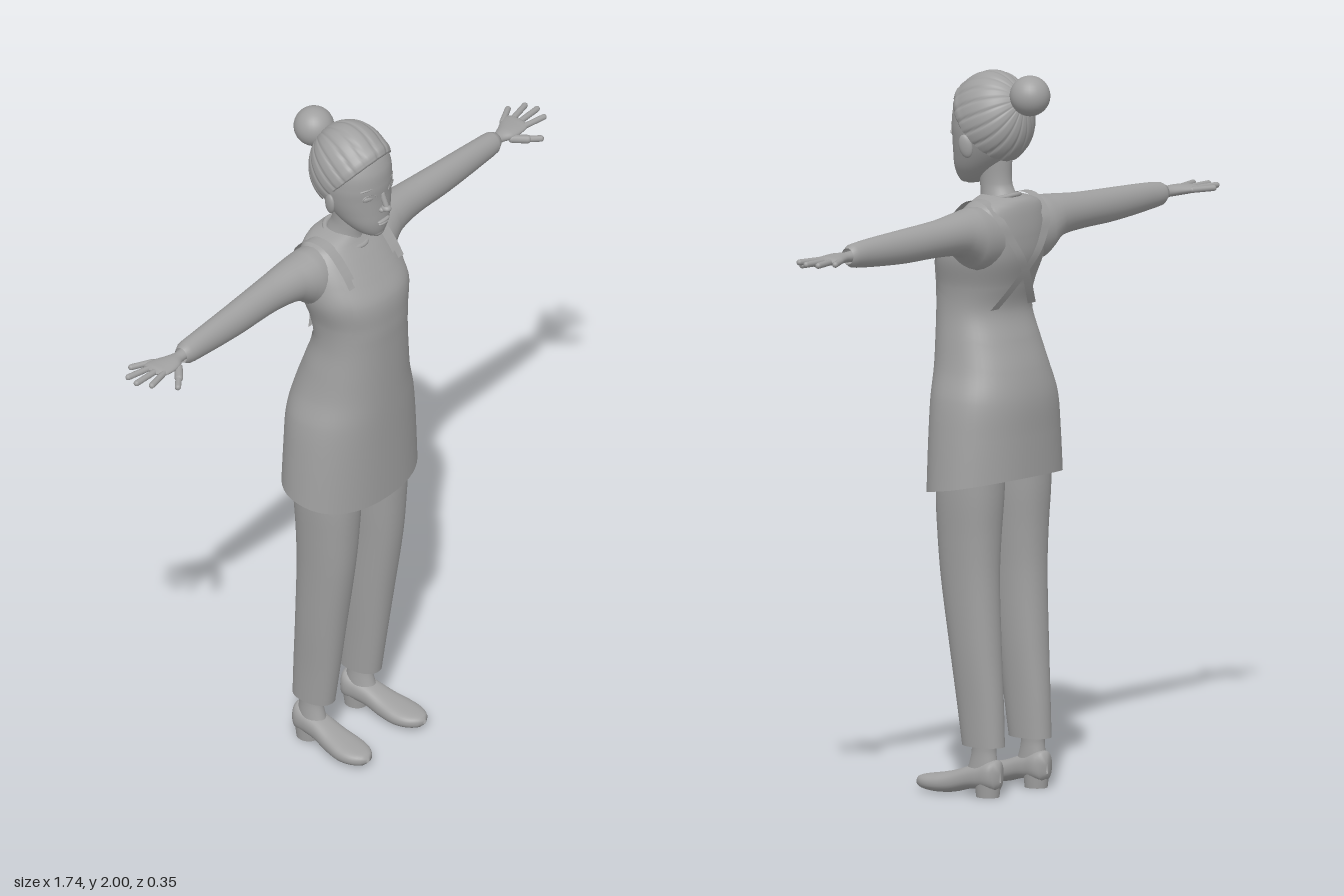
import * as THREE from 'three';
import { ParametricGeometry } from 'three/addons/geometries/ParametricGeometry.js';

const grey = new THREE.MeshStandardMaterial({ color: 0xa0a0a0, side: THREE.DoubleSide });
grey.name = 'plain grey';

// Cubic interpolation through rows whose first entry is the position
function sample(rows, t) {
  let i = 0;
  while (i < rows.length - 2 && t > rows[i + 1][0]) i++;
  const a = rows[i], b = rows[i + 1], h = b[0] - a[0];
  const s = THREE.MathUtils.clamp((t - a[0]) / h, 0, 1);
  const p = rows[Math.max(i - 1, 0)], q = rows[Math.min(i + 2, rows.length - 1)];
  return a.map((_, k) => {
    const m0 = (b[k] - p[k]) / (b[0] - p[0]) * h, m1 = (q[k] - a[k]) / (q[0] - a[0]) * h;
    return (2 * s ** 3 - 3 * s * s + 1) * a[k] + (s ** 3 - 2 * s * s + s) * m0
      + (3 * s * s - 2 * s ** 3) * b[k] + (s ** 3 - s * s) * m1;
  });
}

// Point on a rounded section; row = [position, halfWidth, front, back, centre]
function ringPoint(rows, t, angle, n, out, grow = 0) {
  const [, w, f, b, c] = sample(rows, t);
  const pw = v => Math.sign(v) * Math.abs(v) ** (2 / n);
  return out.set(c + (w + grow) * pw(Math.sin(angle)), t, (f + b) / 2 + ((f - b) / 2 + grow) * pw(Math.cos(angle)));
}

function loft(rows, n = 2, slices = 32, stacks = 32) {
  const r = rows.map(([t, w, f, b, c = 0]) => [t, w, f, b, c]);
  const t0 = r[0][0], t1 = r[r.length - 1][0];
  return new ParametricGeometry((u, v, p) => ringPoint(r, t0 + (t1 - t0) * v, u * Math.PI * 2, n, p), slices, stacks);
}

function add(parent, name, geometry, pos = [0, 0, 0], scale = [1, 1, 1], rot = [0, 0, 0]) {
  const m = new THREE.Mesh(geometry, grey);
  m.name = name;
  m.position.set(...pos);
  m.scale.set(...scale);
  m.rotation.set(...rot);
  parent.add(m);
  return m;
}

// Rounded finger-like rod from a to b
function rod(parent, name, a, b, r) {
  const A = new THREE.Vector3(...a), B = new THREE.Vector3(...b), d = B.clone().sub(A);
  const m = add(parent, name, new THREE.CapsuleGeometry(r, d.length() - r, 4, 10));
  m.position.copy(A.add(B).multiplyScalar(0.5));
  m.quaternion.setFromUnitVectors(new THREE.Vector3(0, 1, 0), d.normalize());
}

// Torso and tunic share one set of cross-sections
const BODY_N = 2.25;
const body = [
  [0.82, 0.222, 0.146, -0.132], [1.0, 0.207, 0.149, -0.132], [1.1, 0.193, 0.151, -0.131],
  [1.18, 0.168, 0.152, -0.115], [1.26, 0.152, 0.153, -0.088], [1.34, 0.14, 0.154, -0.064],
  [1.41, 0.143, 0.155, -0.078], [1.49, 0.162, 0.148, -0.104], [1.55, 0.16, 0.115, -0.108],
  [1.6, 0.147, 0.08, -0.104], [1.635, 0.122, 0.052, -0.096], [1.65, 0.085, 0.042, -0.085], [1.66, 0.045, 0.035, -0.06],
].map(r => [...r, 0]);

function bodyZ(x, y, side) {
  const [, w, f, b] = sample(body, y);
  const k = Math.max(0, 1 - Math.abs(x / w) ** BODY_N) ** (1 / BODY_N);
  return (f + b) / 2 + side * (f - b) / 2 * k;
}

function buildTorso(g) {
  add(g, 'blouse', loft(body.slice(4), BODY_N, 48, 40));
  // Apron skirt: tilted hem, tilted waist edge
  add(g, 'apronSkirt', new ParametricGeometry((u, v, p) => {
    const a = u * Math.PI * 2, hem = 0.858 - 0.028 * Math.cos(a), top = 1.375 + 0.045 * Math.cos(a);
    ringPoint(body, hem + (top - hem) * v, a, BODY_N, p, 0.004);
  }, 48, 32));
  // Bib lying on the chest
  add(g, 'apronBib', new ParametricGeometry((u, v, p) => {
    const y = 1.38 + 0.19 * v, x = (u - 0.5) * 0.24;
    p.set(x, y, bodyZ(x, y, 1) + 0.006);
  }, 24, 16));
  // Straps over the shoulders, crossing at the back
  for (const s of [1, -1]) {
    const on = (x, y, side) => new THREE.Vector3(s * x, y, bodyZ(x, y, side) + side * 0.009);
    const path = new THREE.CatmullRomCurve3([
      on(0.1, 1.55, 1), on(0.1, 1.59, 1), new THREE.Vector3(s * 0.1, 1.648, 0.015),
      new THREE.Vector3(s * 0.1, 1.65, -0.045), on(0.095, 1.6, -1), on(0.07, 1.55, -1),
      on(0.035, 1.5, -1), on(0, 1.455, -1), on(-0.04, 1.4, -1), on(-0.08, 1.35, -1),
    ]);
    add(g, 'apronStrap', new ParametricGeometry((u, v, p) => {
      path.getPoint(v, p);
      p.x += (u - 0.5) * 0.034;
    }, 2, 40));
  }
  add(g, 'collar', new THREE.TorusGeometry(0.055, 0.007, 8, 32), [0, 1.642, -0.004], [1, 1.15, 1], [Math.PI / 2 + 0.3, 0, 0]);
  add(g, 'neck', loft([[1.61, 0.062, 0.05, -0.082], [1.65, 0.046, 0.046, -0.064],
    [1.69, 0.039, 0.05, -0.045], [1.77, 0.041, 0.05, -0.045]]));
}

function buildHead(g) {
  add(g, 'face', loft([
    [1.678, 0.004, 0.1, 0.09], [1.683, 0.022, 0.116, 0.06], [1.7, 0.045, 0.125, 0.03], [1.73, 0.068, 0.13, -0.01],
    [1.77, 0.086, 0.129, -0.05], [1.81, 0.098, 0.128, -0.075], [1.85, 0.104, 0.129, -0.09], [1.9, 0.1, 0.122, -0.09],
    [1.95, 0.075, 0.092, -0.07], [1.98, 0.03, 0.045, -0.02],
  ], 2.1, 40, 40));
  const ball = new THREE.SphereGeometry(1, 20, 14);
  // Nose, lips and chin
  rod(g, 'noseBridge', [0, 1.825, 0.123], [0, 1.782, 0.141], 0.008);
  add(g, 'noseTip', ball, [0, 1.78, 0.139], [0.013, 0.01, 0.015]);
  add(g, 'upperLip', ball, [0, 1.738, 0.129], [0.024, 0.005, 0.009]);
  add(g, 'lowerLip', ball, [0, 1.729, 0.127], [0.02, 0.006, 0.01]);
  add(g, 'chin', ball, [0, 1.695, 0.108], [0.024, 0.016, 0.016]);
  for (const s of [1, -1]) {
    add(g, 'nostril', ball, [s * 0.011, 1.776, 0.13], [0.007, 0.007, 0.009]);
    add(g, 'eye', ball, [s * 0.045, 1.823, 0.111], [0.021, 0.01, 0.009], [0, s * 0.35, 0]);
    add(g, 'eyelid', new THREE.TorusGeometry(0.021, 0.0028, 6, 24, Math.PI), [s * 0.045, 1.823, 0.117], [1, 0.6, 1], [0, s * 0.4, 0]);
    add(g, 'eyebrow', ball, [s * 0.047, 1.853, 0.113], [0.026, 0.004, 0.006], [0, s * 0.4, s * -0.1]);
    add(g, 'ear', ball, [s * 0.104, 1.8, 0.025], [0.01, 0.033, 0.02], [0.2, s * 0.3, s * -0.15]);
  }
  // Hair swept back towards the bun, with combed grooves
  const axis = new THREE.Vector3(0, 0.52, -0.854), up = new THREE.Vector3(0, 0.854, 0.52);
  const d = new THREE.Vector3();
  add(g, 'hair', new ParametricGeometry((u, v, p) => {
    const a = u * Math.PI * 2, c = Math.cos(a);
    const limit = THREE.MathUtils.degToRad(107 + 11 * c - 4 * c * c), t = 0.02 + (limit - 0.02) * Math.min(1, v / 0.97);
    d.copy(axis).multiplyScalar(Math.cos(t)).addScaledVector(up, Math.sin(t) * c);
    d.x = -Math.sin(t) * Math.sin(a);
    const rz = d.z > 0 ? 0.128 : 0.116, ry = d.y > 0 ? 0.138 : 0.127;
    let r = 1 / Math.hypot(d.x / 0.111, d.y / ry, d.z / rz);
    const groove = Math.abs(Math.cos(a * 9 + 0.6 * Math.sin(t * 2))) ** 10;
    r *= 1 - 0.025 * groove * Math.sin(t) + 0.03 * Math.exp(-(((v - 0.9) / 0.05) ** 2)) * Math.max(0, c);
    if (v > 0.975) r *= 0.9;
    p.set(0, 1.862, 0.01).addScaledVector(d, r);
  }, 144, 40));
  add(g, 'hairBun', new THREE.SphereGeometry(0.056, 28, 20), [0, 1.942, -0.118]);
}

function buildArm(g) {
  const alongX = rows => loft(rows.map(([x, top, bottom, f, b]) =>
    [x, (top - bottom) / 2, f, b, 1.57 - (top + bottom) / 2]), 2, 28, 32).rotateZ(-Math.PI / 2);
  add(g, 'sleeve', alongX([
    [0.08, 1.635, 1.46, 0.05, -0.098], [0.14, 1.64, 1.465, 0.05, -0.1], [0.17, 1.637, 1.49, 0.042, -0.096],
    [0.21, 1.634, 1.513, 0.028, -0.089], [0.3, 1.626, 1.523, 0.013, -0.082], [0.45, 1.619, 1.525, 0.008, -0.073],
    [0.6, 1.612, 1.535, 0.002, -0.064], [0.67, 1.605, 1.544, -0.002, -0.06], [0.678, 1.598, 1.553, -0.01, -0.052],
  ]), [0, 1.57, 0]);
  add(g, 'palm', alongX([
    [0.65, 1.59, 1.558, -0.014, -0.05], [0.69, 1.588, 1.56, -0.014, -0.05], [0.72, 1.59, 1.56, 0, -0.06],
    [0.76, 1.589, 1.563, 0.002, -0.078], [0.785, 1.586, 1.567, -0.006, -0.076], [0.792, 1.578, 1.574, -0.025, -0.06],
  ]), [0, 1.57, 0]);
  // Spread fingers and thumb: [base x, base z, tip x, tip z]
  for (const [x, z, tx, tz] of [[0.75, -0.068, 0.815, -0.1], [0.765, -0.054, 0.858, -0.074],
    [0.765, -0.034, 0.866, -0.037], [0.76, -0.014, 0.848, 0.003]])
    rod(g, 'finger', [x, 1.576, z], [tx, 1.577, tz], 0.0085);
  rod(g, 'thumb', [0.715, 1.568, -0.01], [0.755, 1.56, 0.025], 0.012);
  rod(g, 'thumbTip', [0.75, 1.561, 0.02], [0.785, 1.556, 0.046], 0.009);
}

function buildLeg(g) {
  add(g, 'trouserLeg', loft([
    [0.14, 0.043, 0.03, -0.101, 0.1], [0.25, 0.048, 0.046, -0.096, 0.1], [0.4, 0.057, 0.067, -0.086, 0.101],
    [0.6, 0.066, 0.096, -0.077, 0.102], [0.72, 0.074, 0.106, -0.079, 0.101], [0.84, 0.082, 0.11, -0.086, 0.1],
    [1.05, 0.085, 0.1, -0.09, 0.098],
  ], 2.2));
  add(g, 'trouserHem', new THREE.RingGeometry(0.6, 1, 32), [0.1, 0.141, -0.0355], [0.043, 0.065, 1], [Math.PI / 2, 0, 0]);
  const foot = new THREE.Group();
  foot.name = 'foot';
  foot.position.x = 0.108;
  foot.rotation.y = 0.08;
  g.add(foot);
  add(foot, 'ankle', loft([[0.05, 0.034, 0.02, -0.082], [0.09, 0.03, 0.004, -0.082],
    [0.13, 0.028, -0.005, -0.078], [0.2, 0.032, 0, -0.085]]));
  // Shoe sections run from toe to heel
  add(foot, 'shoe', loft([
    [-0.176, 0.006, 0.03, 0.018], [-0.168, 0.024, 0.04, 0.01], [-0.14, 0.043, 0.047, 0.004], [-0.1, 0.05, 0.054, 0.001],
    [-0.05, 0.045, 0.066, 0.005], [0, 0.039, 0.083, 0.018], [0.04, 0.038, 0.094, 0.022],
    [0.075, 0.036, 0.104, 0.02], [0.092, 0.022, 0.098, 0.024], [0.096, 0.004, 0.07, 0.04],
  ], 2.4).rotateX(-Math.PI / 2));
  add(foot, 'shoeHeel', new THREE.CylinderGeometry(0.034, 0.03, 0.04, 24), [0, 0.02, -0.054], [1, 1, 1.1]);
}

export function createModel() {
  const model = new THREE.Group();
  model.name = 'woman';
  const torso = new THREE.Group(), head = new THREE.Group();
  torso.name = 'torso';
  head.name = 'head';
  buildTorso(torso);
  buildHead(head);
  model.add(torso, head);
  for (const s of [1, -1]) {
    const limbs = new THREE.Group();
    limbs.name = s > 0 ? 'leftLimbs' : 'rightLimbs';
    limbs.scale.x = s;
    buildArm(limbs);
    buildLeg(limbs);
    model.add(limbs);
  }
  return model;
}
